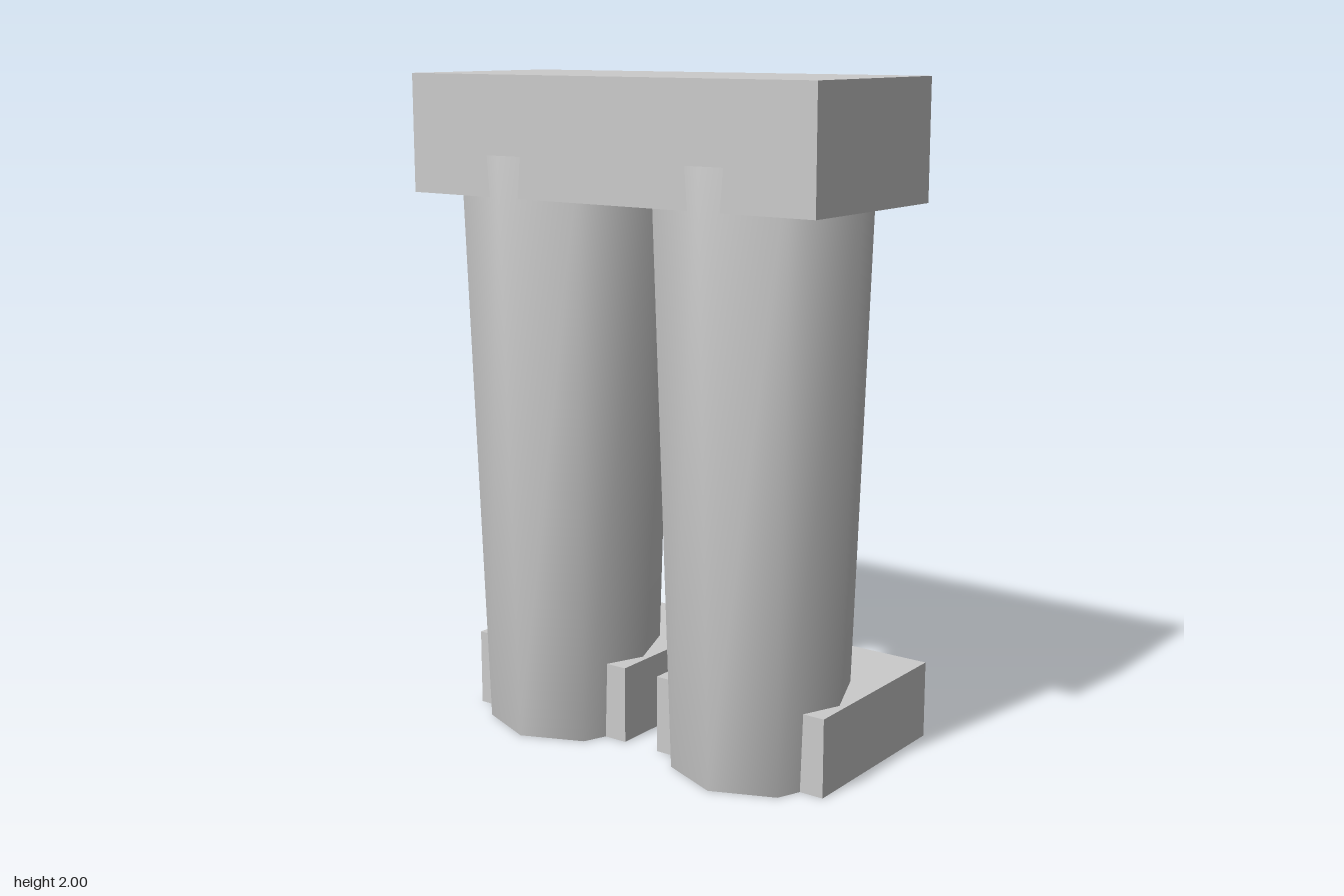
import * as THREE from 'three';
import { mergeVertices } from 'three/addons/utils/BufferGeometryUtils.js';

export function createModel() {
  const model = new THREE.Group();
  const material = new THREE.MeshStandardMaterial({ color: 0xcccccc });

  function addPart(parent, name, geometry, x, y, z) {
    const mesh = new THREE.Mesh(geometry, material);
    mesh.name = name;
    mesh.position.set(x, y, z);
    parent.add(mesh);
  }

  // Eight-sided tapered leg, smoothed over its sides and caps
  function legGeometry() {
    const cylinder = new THREE.CylinderGeometry(0.32, 0.265, 1.77, 8);
    cylinder.deleteAttribute('normal');
    cylinder.deleteAttribute('uv');
    const geometry = mergeVertices(cylinder);
    geometry.computeVertexNormals();
    return geometry;
  }

  // Hip block across the top
  addPart(model, 'hips', new THREE.BoxGeometry(1.41, 0.35, 0.59), 0, 1.825, 0.073);

  // A leg and its foot block on each side
  for (const [side, sign] of [['left', 1], ['right', -1]]) {
    const limb = new THREE.Group();
    limb.name = side + 'Limb';
    limb.position.x = sign * 0.353;
    addPart(limb, side + 'Leg', legGeometry(), 0, 0.885, 0.074);
    addPart(limb, side + 'Foot', new THREE.BoxGeometry(0.585, 0.236, 0.585), 0, 0.118, -0.102);
    model.add(limb);
  }
  return model;
}
